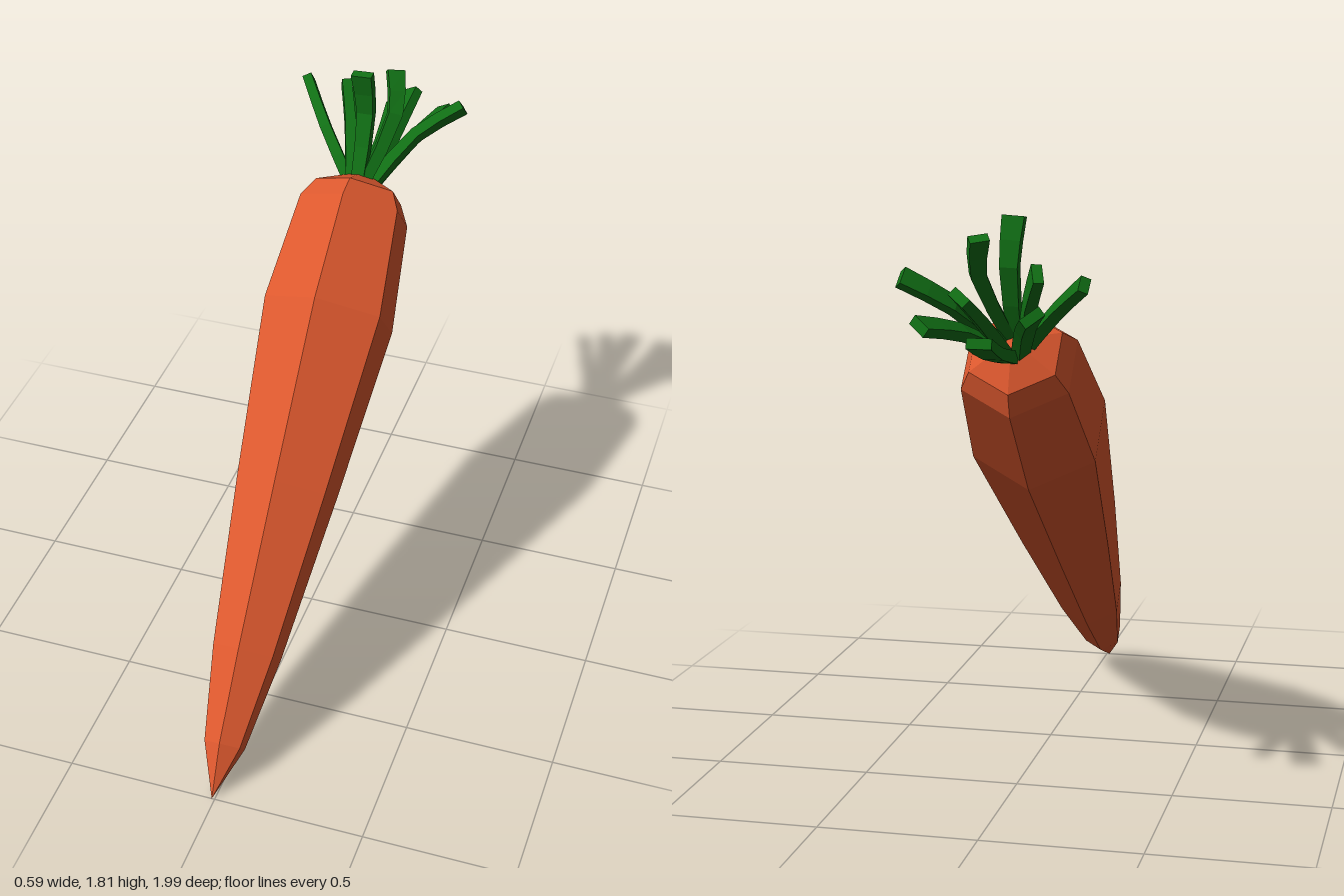
import * as THREE from 'three';

const TILT = 0.835; // lean of the root's axis towards the back
const AXIS = new THREE.Vector3(0, Math.cos(TILT), -Math.sin(TILT));
const TIP = new THREE.Vector3(-0.01, 0, 1);

function flat(geometry) {
  const g = geometry.toNonIndexed();
  g.computeVertexNormals();
  return g;
}

// Six-sided root turned from [radius, distance along the axis]
function createRoot(material) {
  const profile = [
    [0, 0], [0.07, 0.177], [0.118, 0.485], [0.175, 1.033], [0.23, 1.639],
    [0.195, 2.007], [0.155, 2.074], [0.058, 2.118], [0, 2.12],
  ].map(([r, d]) => new THREE.Vector2(r, d));
  const geometry = new THREE.LatheGeometry(profile, 6);
  geometry.rotateX(-TILT).translate(TIP.x, TIP.y, TIP.z);
  const root = new THREE.Mesh(flat(geometry), material);
  root.name = 'root';
  return root;
}

// Flat stalk: a box bent along a curve, widening towards its blunt end
function createStalk(mid, tip, width, material) {
  const crown = TIP.clone().addScaledVector(AXIS, 2.09);
  const end = new THREE.Vector3(...tip);
  const radial = end.clone().sub(crown).projectOnPlane(AXIS).normalize();
  const base = crown.clone().addScaledVector(radial, 0.03);
  const curve = new THREE.CatmullRomCurve3([base, new THREE.Vector3(...mid), end]);
  const across = new THREE.Vector3().crossVectors(radial, AXIS).normalize();

  const geometry = new THREE.BoxGeometry(1, 1, 1, 1, 4, 1);
  const pos = geometry.attributes.position;
  for (let i = 0; i < pos.count; i++) {
    const u = pos.getY(i) + 0.5;
    const tangent = curve.getTangent(u);
    const side = across.clone().projectOnPlane(tangent).normalize();
    const depth = new THREE.Vector3().crossVectors(side, tangent);
    const p = curve.getPoint(u)
      .addScaledVector(side, pos.getX(i) * width * (0.6 + 0.4 * u))
      .addScaledVector(depth, pos.getZ(i) * (0.04 - 0.008 * u));
    pos.setXYZ(i, p.x, p.y, p.z);
  }
  return new THREE.Mesh(flat(geometry), material);
}

export function createModel() {
  const orange = new THREE.MeshStandardMaterial({ color: 0xdc582e, flatShading: true });
  const green = new THREE.MeshStandardMaterial({ color: 0x117015, flatShading: true });

  const model = new THREE.Group();
  model.name = 'carrot';
  model.add(createRoot(orange));

  // Middle point, end point and width of each stalk
  const stalks = [
    [[-0.01, 1.66, -0.61], [-0.02, 1.81, -0.59], 0.07],
    [[0.075, 1.64, -0.66], [0.05, 1.755, -0.745], 0.06],
    [[-0.09, 1.56, -0.69], [-0.135, 1.66, -0.785], 0.07],
    [[-0.17, 1.54, -0.67], [-0.28, 1.635, -0.815], 0.05],
    [[0.14, 1.55, -0.7], [0.28, 1.64, -0.775], 0.06],
    [[-0.09, 1.49, -0.75], [-0.15, 1.55, -0.92], 0.07],
    [[0.05, 1.52, -0.75], [0.07, 1.6, -0.9], 0.065],
    [[0.1, 1.48, -0.76], [0.175, 1.52, -0.95], 0.065],
    [[-0.005, 1.425, -0.8], [-0.01, 1.48, -0.985], 0.075],
  ];
  const leaves = new THREE.Group();
  leaves.name = 'leaves';
  stalks.forEach(([mid, tip, width], i) => {
    const stalk = createStalk(mid, tip, width, green);
    stalk.name = `stalk${i + 1}`;
    leaves.add(stalk);
  });
  model.add(leaves);
  return model;
}
